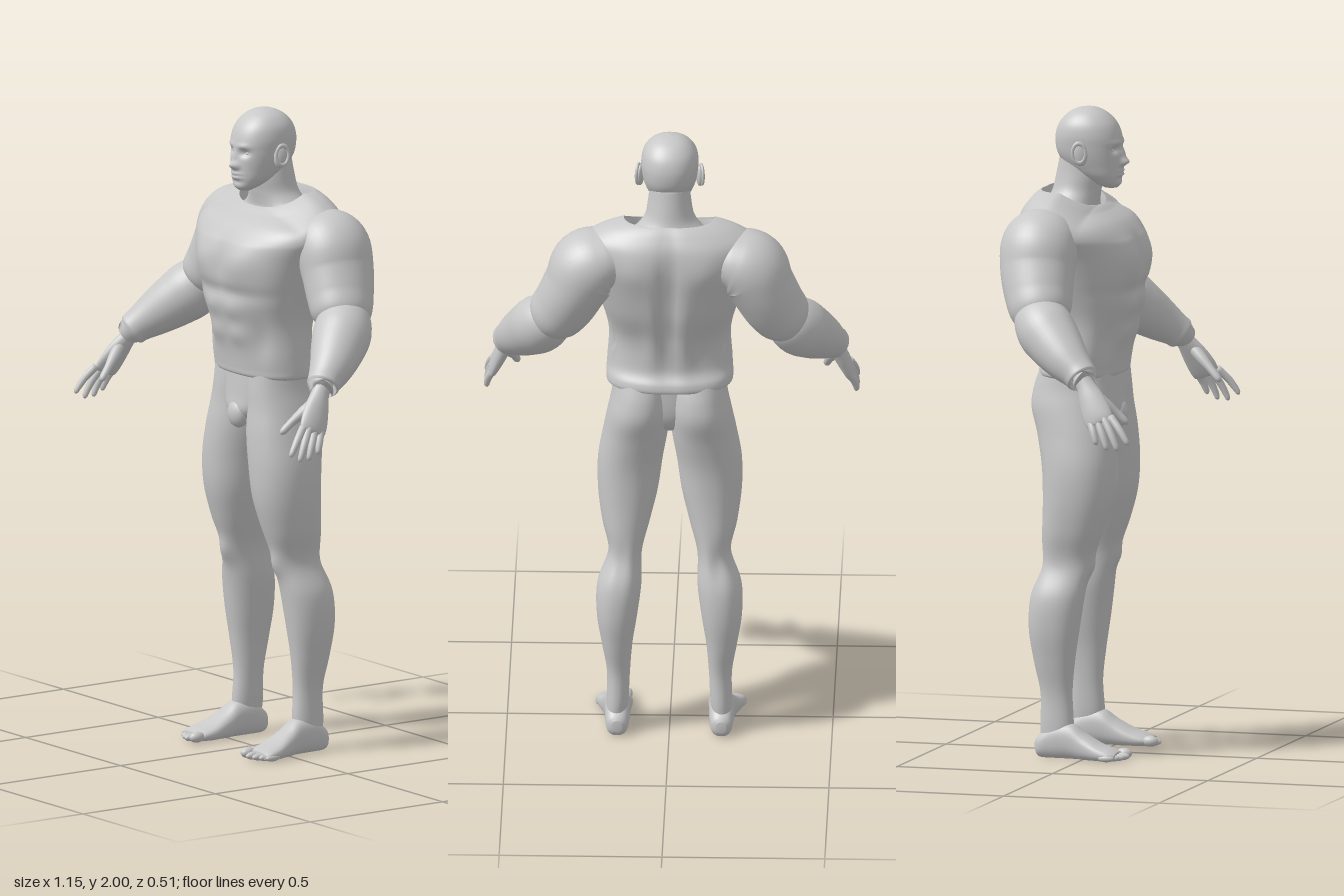
import * as THREE from 'three';

const V = (x, y, z) => new THREE.Vector3(x, y, z);
const UP = V(0, 1, 0), FRONT = V(0, 0, 1);
const bell = (d) => Math.exp(-d * d);
const clamp = THREE.MathUtils.clamp;

// Smooth closed skin over elliptical sections [x, y, z, halfWidth, halfDepth].
// dir fixes the section plane; without it sections follow the path.
function loft(rows, { ref = FRONT, dir = null, sides = 32, steps = 6, power = 1, deform = null } = {}) {
  const path = new THREE.CatmullRomCurve3(rows.map((r) => V(r[0], r[1], r[2])), false, 'catmullrom');
  const size = new THREE.CatmullRomCurve3(rows.map((r) => V(r[3], r[4], 0)), false, 'catmullrom');
  const n = (rows.length - 1) * steps, pos = [], index = [];
  const bend = (v) => Math.sign(v) * Math.abs(v) ** power;
  const put = (p) => { if (deform) deform(p); pos.push(p.x, p.y, p.z); };
  for (let i = 0; i <= n; i++) {
    const t = i / n, c = path.getPoint(t), s = size.getPoint(t);
    const along = dir || path.getTangent(t);
    const a = V().crossVectors(along, ref).normalize();
    const b = V().crossVectors(a, along).normalize();
    for (let j = 0; j < sides; j++) {
      const u = (j / sides) * Math.PI * 2;
      put(c.clone().addScaledVector(a, Math.max(s.x, 0.001) * bend(Math.cos(u)))
        .addScaledVector(b, Math.max(s.y, 0.001) * bend(Math.sin(u))));
    }
  }
  put(path.getPoint(0));
  put(path.getPoint(1));
  const c0 = (n + 1) * sides, c1 = c0 + 1;
  for (let j = 0; j < sides; j++) {
    const k = (j + 1) % sides;
    for (let i = 0; i < n; i++) {
      const p = i * sides + j, q = i * sides + k;
      index.push(p, p + sides, q, p + sides, q + sides, q);
    }
    index.push(c0, j, k, c1, n * sides + k, n * sides + j);
  }
  const g = new THREE.BufferGeometry();
  g.setAttribute('position', new THREE.Float32BufferAttribute(pos, 3));
  g.setIndex(index);
  g.computeVertexNormals();
  return g;
}

// Horizontal slices [y, xMin, xMax, zBack, zFront], listed from bottom to top.
const slices = (rows, options) => loft(
  rows.map(([y, x0, x1, zb, zf]) => [(x0 + x1) / 2, y, (zb + zf) / 2, (x1 - x0) / 2, (zf - zb) / 2]),
  { dir: UP, ...options });
const even = (rows) => rows.map(([y, r, zb, zf]) => [y, -r, r, zb, zf]);

function ball(x, y, z, rx, ry, rz) {
  return new THREE.SphereGeometry(1, 20, 14).scale(rx, ry, rz).translate(x, y, z);
}

function mirrored(geometry) {
  const g = geometry.clone().scale(-1, 1, 1), ix = g.index.array;
  for (let i = 0; i < ix.length; i += 3) [ix[i], ix[i + 1]] = [ix[i + 1], ix[i]];
  g.computeVertexNormals();
  return g;
}

export function createModel() {
  const model = new THREE.Group();
  model.name = 'muscularFigure';
  const clay = new THREE.MeshStandardMaterial({ color: 0xc8c8c8 });
  clay.name = 'light grey';
  const add = (name, geometry) => {
    const m = new THREE.Mesh(geometry, clay);
    m.name = name;
    model.add(m);
  };
  const pair = (name, geometry) => {
    add(name + 'Left', geometry);
    add(name + 'Right', mirrored(geometry));
  };

  // Head with brow, sockets, nose, lips and chin pressed into the front
  add('head', slices(even([
    [1.752, 0.022, 0.012, 0.052], [1.765, 0.04, -0.02, 0.063], [1.79, 0.06, -0.07, 0.066],
    [1.82, 0.072, -0.11, 0.067], [1.85, 0.081, -0.133, 0.067], [1.88, 0.086, -0.142, 0.066],
    [1.915, 0.088, -0.142, 0.062], [1.95, 0.081, -0.13, 0.047], [1.978, 0.061, -0.105, 0.02],
    [1.994, 0.034, -0.075, -0.01], [2.0, 0.004, -0.043, -0.035],
  ]), { sides: 72, steps: 8, power: 0.92, deform: (p) => {
    if (p.z < 0) return;
    const x = Math.abs(p.x), y = p.y;
    p.z += 0.02 * bell(x / 0.013) * bell((y - 1.832) / 0.013)
      + 0.011 * bell(x / 0.009) * bell((y - 1.856) / 0.022)
      + 0.006 * bell((x - 0.013) / 0.007) * bell((y - 1.828) / 0.009)
      - 0.013 * bell((x - 0.033) / 0.016) * bell((y - 1.872) / 0.012)
      + 0.005 * bell((x - 0.03) / 0.025) * bell((y - 1.893) / 0.009)
      + 0.007 * bell(x / 0.022) * (bell((y - 1.806) / 0.005) + bell((y - 1.793) / 0.005))
      - 0.004 * bell(x / 0.025) * bell((y - 1.779) / 0.007);
  } }));
  pair('eye', ball(0.033, 1.871, 0.037, 0.014, 0.008, 0.013));
  pair('ear', ball(0, 0, 0, 0.01, 0.037, 0.022).rotateY(-0.3).rotateX(-0.15).translate(0.09, 1.862, -0.04));
  pair('earRim', new THREE.TorusGeometry(0.02, 0.005, 8, 24).scale(1, 1.5, 1)
    .rotateY(Math.PI / 2 - 0.3).translate(0.097, 1.866, -0.042));

  // Neck spreading into the collar
  add('neck', slices(even([
    [1.64, 0.15, -0.19, 0.0], [1.69, 0.125, -0.175, -0.01], [1.715, 0.098, -0.165, -0.008],
    [1.745, 0.076, -0.152, -0.002], [1.79, 0.067, -0.142, 0.004], [1.85, 0.06, -0.13, -0.01],
  ])));

  // Shirt body: chest, waist, hem and a turned-in collar that dips in front
  add('shirtBody', slices(even([
    [1.175, 0.18, -0.165, 0.06], [1.182, 0.193, -0.18, 0.073], [1.205, 0.195, -0.178, 0.077],
    [1.25, 0.192, -0.158, 0.085], [1.35, 0.188, -0.175, 0.108], [1.45, 0.212, -0.21, 0.13],
    [1.55, 0.245, -0.23, 0.128], [1.62, 0.275, -0.235, 0.107], [1.68, 0.268, -0.228, 0.075],
    [1.722, 0.21, -0.205, 0.035], [1.745, 0.147, -0.182, 0.004], [1.738, 0.14, -0.176, -0.002],
    [1.69, 0.135, -0.17, -0.004],
  ]), { sides: 80, steps: 8, power: 0.86, deform: (p) => {
    const x = Math.abs(p.x), y = p.y;
    if (p.z > -0.02) {
      p.z += 0.014 * bell((x - 0.09) / 0.065) * bell((y - 1.54) / 0.06)
        - 0.01 * bell(x / 0.19) * bell((y - 1.445) / 0.022)
        - 0.008 * bell(x / 0.016) * bell((y - 1.52) / 0.08)
        + 0.008 * bell((x - 0.05) / 0.045) * (bell((y - 1.39) / 0.03) + bell((y - 1.31) / 0.03))
        - 0.012 * bell((x - 0.13) / 0.03) * bell((y - 1.3) / 0.06);
    } else if (p.z < -0.1) {
      p.z += 0.03 * bell(x / 0.025) * bell((y - 1.5) / 0.17)
        - 0.01 * bell((x - 0.11) / 0.06) * bell((y - 1.61) / 0.07)
        + 0.01 * bell((x - 0.13) / 0.08) * bell((y - 1.33) / 0.07)
        - 0.008 * bell((x - 0.05) / 0.03) * bell((y - 1.32) / 0.1);
    }
    p.y -= 0.048 * clamp((y - 1.6) / 0.13, 0, 1) * clamp((p.z + 0.09) / 0.09, 0, 1);
  } }));

  // Puffed sleeves: upper arm overlapping the forearm at the elbow crease
  pair('upperSleeve', loft([
    [0.15, 1.615, -0.12, 0.08, 0.09], [0.2, 1.612, -0.12, 0.1, 0.112], [0.25, 1.588, -0.12, 0.115, 0.121],
    [0.285, 1.525, -0.115, 0.102, 0.116], [0.32, 1.455, -0.1, 0.096, 0.106],
    [0.355, 1.402, -0.082, 0.085, 0.092], [0.375, 1.372, -0.07, 0.05, 0.06], [0.38, 1.365, -0.068, 0.01, 0.01],
  ], { sides: 40 }));
  pair('lowerSleeve', loft([
    [0.342, 1.425, -0.1, 0.03, 0.03], [0.358, 1.405, -0.09, 0.072, 0.075], [0.395, 1.36, -0.055, 0.09, 0.09],
    [0.43, 1.32, -0.012, 0.083, 0.084], [0.465, 1.28, 0.035, 0.069, 0.07], [0.492, 1.245, 0.08, 0.053, 0.054],
    [0.502, 1.23, 0.096, 0.05, 0.05], [0.505, 1.226, 0.1, 0.04, 0.04], [0.501, 1.232, 0.092, 0.03, 0.03],
  ], { sides: 36 }));

  // Hands: palm, four fingers and a thumb
  pair('palm', loft([
    [0.492, 1.25, 0.08, 0.026, 0.028], [0.506, 1.21, 0.108, 0.024, 0.029], [0.522, 1.17, 0.132, 0.023, 0.04],
    [0.537, 1.13, 0.153, 0.02, 0.046], [0.546, 1.104, 0.166, 0.015, 0.044], [0.549, 1.096, 0.17, 0.007, 0.035],
  ], { sides: 24 }));
  const drops = [0.066, 0.086, 0.092, 0.078];
  drops.forEach((d, i) => {
    const z = 0.168 + (i - 1.5) * 0.022, y = 1.114 + (i - 1.5) * 0.005, lean = 0.014 + i * 0.006;
    pair('finger' + (i + 1), loft([
      [0.545, y, z, 0.012, 0.012], [0.56, y - d * 0.45, z + lean, 0.0115, 0.0115],
      [0.567, y - d * 0.85, z + lean * 1.7, 0.0095, 0.0095], [0.567, y - d, z + lean * 1.9, 0.007, 0.007],
      [0.566, y - d - 0.005, z + lean * 1.95, 0.002, 0.002],
    ], { sides: 12, steps: 4 }));
  });
  pair('thumb', loft([
    [0.515, 1.195, 0.125, 0.016, 0.018], [0.5, 1.16, 0.163, 0.018, 0.018], [0.485, 1.128, 0.198, 0.013, 0.013],
    [0.476, 1.1, 0.226, 0.011, 0.011], [0.474, 1.091, 0.234, 0.004, 0.004],
  ], { sides: 14, steps: 4 }));

  // Pelvis core between the legs
  add('pelvis', slices(even([
    [1.005, 0.02, -0.07, 0.0], [1.025, 0.05, -0.11, 0.05], [1.06, 0.1, -0.135, 0.075],
    [1.11, 0.15, -0.145, 0.07], [1.2, 0.17, -0.145, 0.062],
  ])));
  add('groin', ball(0, 1.052, 0.055, 0.04, 0.045, 0.03));

  // Legs with seat, thigh, kneecap and calf
  pair('leg', slices([
    [0.045, 0.135, 0.193, -0.14, -0.05], [0.1, 0.126, 0.193, -0.145, -0.04], [0.2, 0.121, 0.192, -0.145, -0.045],
    [0.3, 0.113, 0.208, -0.165, -0.036], [0.4, 0.098, 0.223, -0.18, -0.022], [0.5, 0.086, 0.221, -0.176, -0.008],
    [0.6, 0.085, 0.188, -0.152, 0.01], [0.7, 0.06, 0.208, -0.145, 0.046], [0.8, 0.036, 0.221, -0.143, 0.073],
    [0.9, 0.022, 0.221, -0.148, 0.081], [1.0, 0.006, 0.205, -0.168, 0.079], [1.08, 0.002, 0.19, -0.19, 0.07],
    [1.14, 0.002, 0.178, -0.185, 0.066], [1.2, 0.004, 0.172, -0.165, 0.06],
  ], { sides: 44, steps: 6, power: 0.92, deform: (p) => {
    if (p.z > -0.04) p.z += 0.014 * bell((p.x - 0.135) / 0.03) * bell((p.y - 0.59) / 0.035);
    else p.z += 0.01 * bell((p.x - 0.15) / 0.025) * bell((p.y - 0.58) / 0.06);
  } }));

  // Bare feet and toes, flat on the ground
  pair('foot', loft([
    [0.16, 0.035, -0.16, 0.015, 0.018], [0.16, 0.036, -0.145, 0.032, 0.036], [0.16, 0.05, -0.1, 0.038, 0.055],
    [0.161, 0.052, -0.045, 0.041, 0.056], [0.165, 0.036, 0.0, 0.047, 0.042], [0.171, 0.022, 0.05, 0.055, 0.028],
    [0.175, 0.016, 0.09, 0.055, 0.019], [0.175, 0.014, 0.11, 0.045, 0.012],
  ], { ref: UP, dir: FRONT, power: 0.85, deform: (p) => { p.y = Math.max(p.y, 0); } }));
  const toes = [[0.135, 0.115, 0.017], [0.162, 0.116, 0.012], [0.184, 0.108, 0.011], [0.204, 0.097, 0.011], [0.222, 0.084, 0.011]];
  toes.forEach(([x, z, r], i) => pair('toe' + (i + 1), ball(x, r, z, r, r, 0.026)));

  return model;
}
